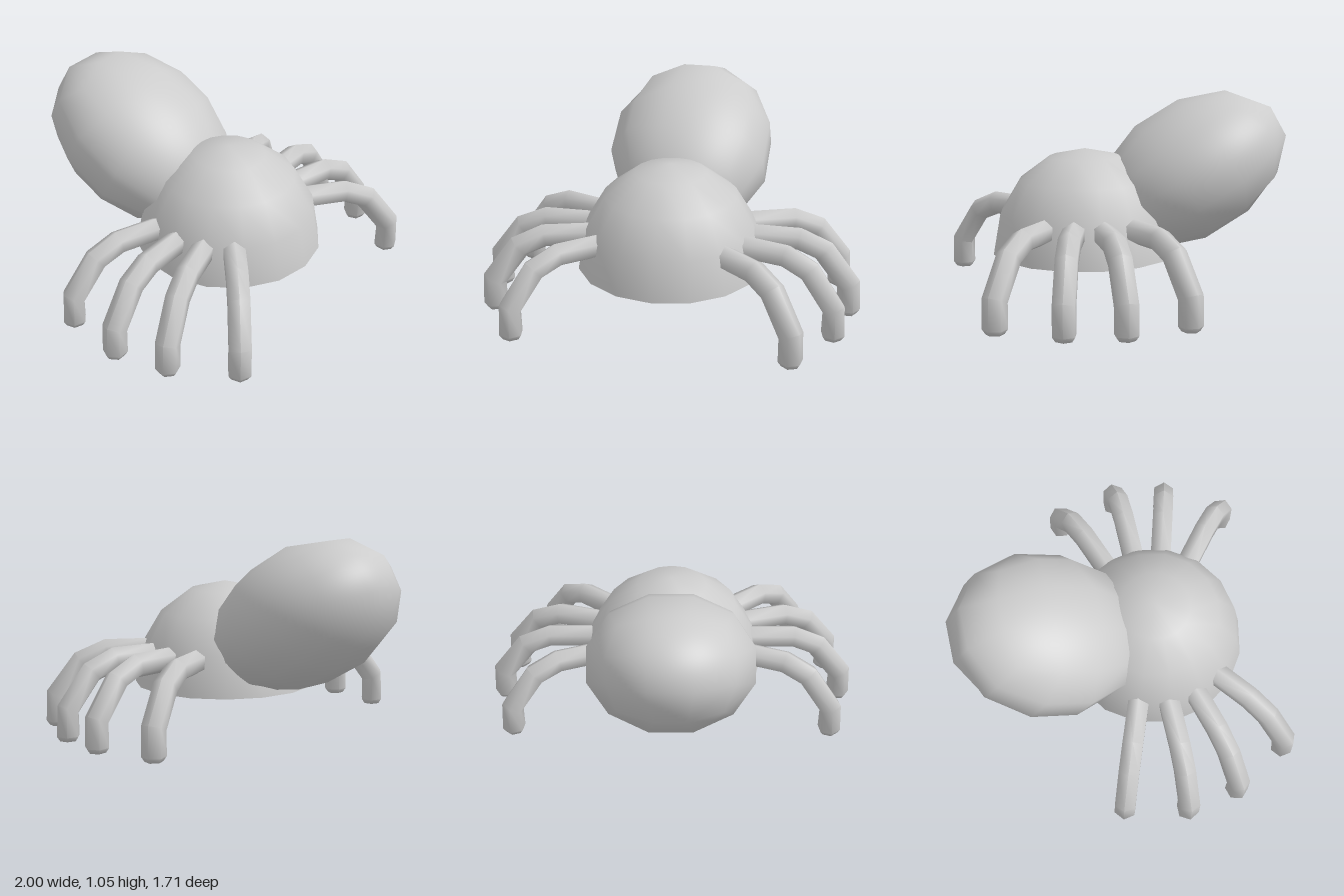
import * as THREE from 'three';
import { toCreasedNormals } from 'three/addons/utils/BufferGeometryUtils.js';

const material = new THREE.MeshStandardMaterial({ color: 0xcccccc });
const DOME = { y: 0.22, z: 0.21, radius: 0.49, height: 0.55, wall: 0.04 };

function addMesh(parent, name, geometry) {
  const mesh = new THREE.Mesh(geometry, material);
  mesh.name = name;
  parent.add(mesh);
  return mesh;
}

// Hollow half-ellipsoid shell with a flat rim
function domeGeometry() {
  const arc = (r, h) => [0, 1, 2, 3, 4].map((i) => {
    const a = (i * Math.PI) / 8;
    return new THREE.Vector2(i === 4 ? 0 : r * Math.cos(a), h * Math.sin(a));
  });
  const inner = arc(DOME.radius - DOME.wall, DOME.height - DOME.wall).reverse();
  const outer = arc(DOME.radius, DOME.height);
  return toCreasedNormals(new THREE.LatheGeometry([...inner, ...outer], 16), 0.8);
}

// Split every triangle in four, keeping the coarse facets
function subdivide(points, times) {
  let tris = points;
  for (let n = 0; n < times; n++) {
    const next = [];
    for (let i = 0; i < tris.length; i += 3) {
      const [a, b, c] = tris.slice(i, i + 3);
      const mid = (p, q) => p.clone().add(q).multiplyScalar(0.5);
      const ab = mid(a, b), bc = mid(b, c), ca = mid(c, a);
      next.push(a, ab, ca, ab, b, bc, ca, bc, c, ab, bc, ca);
    }
    tris = next;
  }
  return tris;
}

// Tilted ellipsoid made from a rounded 3 x 3 x 3 cube, stopping inside the dome wall
function abdomenGeometry() {
  const axes = new THREE.Vector3(0.45, 0.36, 0.55);
  const box = new THREE.BoxGeometry(2, 2, 2, 3, 3, 3).toNonIndexed();
  const corners = [];
  for (let i = 0; i < box.attributes.position.count; i++) {
    const p = new THREE.Vector3().fromBufferAttribute(box.attributes.position, i);
    p.set(...p.toArray().map((v) => Math.tan((v * Math.PI) / 4)));
    corners.push(p.normalize().multiply(axes));
  }
  const points = subdivide(corners, 3);
  const normals = points.map((p) => p.clone().divide(axes).divide(axes).normalize());
  const geometry = new THREE.BufferGeometry().setFromPoints(points);
  geometry.setAttribute('normal', new THREE.Float32BufferAttribute(normals.flatMap((n) => n.toArray()), 3));
  geometry.rotateX(Math.PI / 6).translate(0, 0.64, -0.375);

  // Keep the dome cavity clear
  const centre = new THREE.Vector3(0, DOME.y, DOME.z);
  const r = DOME.radius - DOME.wall / 2, h = DOME.height - DOME.wall / 2;
  const pos = geometry.attributes.position;
  for (let i = 0; i < pos.count; i++) {
    const p = new THREE.Vector3().fromBufferAttribute(pos, i).sub(centre);
    const depth = Math.hypot(p.x / r, p.y / h, p.z / r);
    if (depth < 1) p.divideScalar(depth);
    p.add(centre);
    pos.setXYZ(i, p.x, p.y, p.z);
  }
  return geometry;
}

// Six-sided bent tube in the xy plane, foot tip at x = 0
function legGeometry() {
  const path = [[-0.565, 0.4], [-0.33, 0.4], [-0.2, 0.345], [-0.065, 0.165], [-0.063, 0.025], [-0.063, 0]];
  const sides = 6, last = path.length - 1;
  const positions = [], index = [];
  path.forEach(([x, y], i) => {
    const from = path[Math.max(i - 1, 0)], to = path[Math.min(i + 1, last)];
    const t = new THREE.Vector2(to[0] - from[0], to[1] - from[1]).normalize();
    if (i >= last - 1) t.set(0, -1);
    const r = i === last ? 0.046 : 0.063;
    for (let j = 0; j < sides; j++) {
      const a = (j / sides) * Math.PI * 2, n = r * Math.cos(a);
      positions.push(x - t.y * n, y + t.x * n, r * Math.sin(a));
    }
  });
  positions.push(...path[last], 0);
  for (let i = 0; i <= last; i++) {
    for (let j = 0; j < sides; j++) {
      const a = i * sides + j, b = i * sides + ((j + 1) % sides);
      if (i < last) index.push(a, b, a + sides, b, b + sides, a + sides);
      else index.push(a, b, sides * path.length);
    }
  }
  const geometry = new THREE.BufferGeometry();
  geometry.setAttribute('position', new THREE.Float32BufferAttribute(positions, 3));
  geometry.setIndex(index);
  return toCreasedNormals(geometry, 1.1);
}

export function createModel() {
  const model = new THREE.Group();
  model.name = 'spider';

  addMesh(model, 'bodyDome', domeGeometry()).position.set(0, DOME.y, DOME.z);
  addMesh(model, 'abdomen', abdomenGeometry());

  // Four mirrored pairs: foot tip x, z and heading in degrees
  const leg = legGeometry();
  const pairs = [
    ['front', 0.755, 0.825, 39],
    ['midFront', 0.945, 0.5, 16],
    ['midRear', 1, 0.195, 0],
    ['rear', 0.92, -0.16, -20.5],
  ];
  for (const [name, x, z, degrees] of pairs) {
    const angle = THREE.MathUtils.degToRad(degrees);
    const left = addMesh(model, name + 'LegLeft', leg);
    left.position.set(x, 0, z);
    left.rotation.y = -angle;
    const right = addMesh(model, name + 'LegRight', leg);
    right.position.set(-x, 0, z);
    right.rotation.y = angle - Math.PI;
  }
  return model;
}
